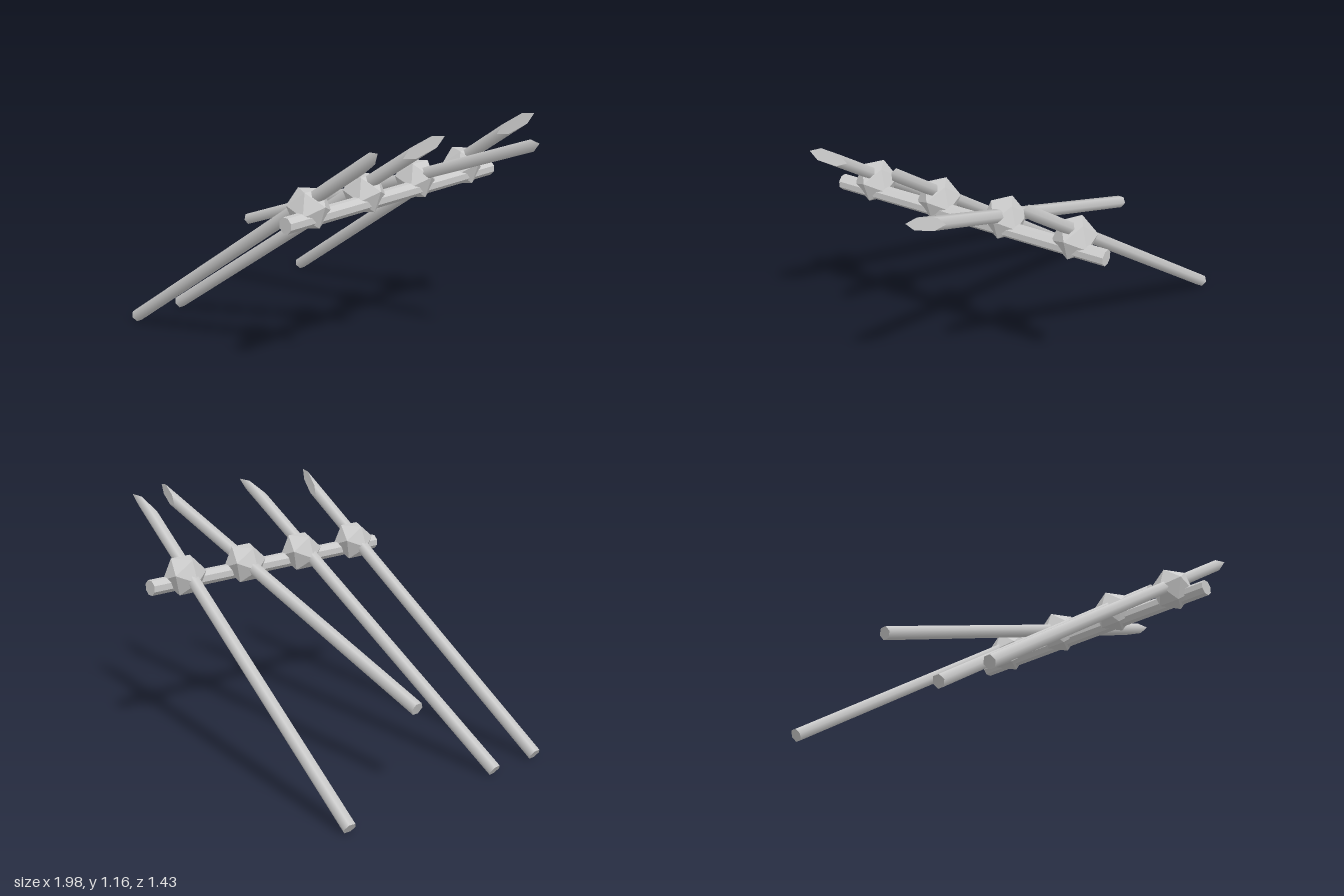
import * as THREE from 'three';

const flat = new THREE.MeshStandardMaterial({ color: 0xcccccc, flatShading: true });
const smooth = new THREE.MeshStandardMaterial({ color: 0xcccccc });

// Six-sided stake from foot to tip; the end is cut to a slanted point on one z side
function makeStake(foot, tip, side, radius = 0.032, cut = 0.21) {
  const a = new THREE.Vector3(...foot), b = new THREE.Vector3(...tip);
  const length = a.distanceTo(b);
  const geo = new THREE.CylinderGeometry(radius, radius, length, 6, 1);
  const pos = geo.attributes.position, nor = geo.attributes.normal;
  const bevel = new THREE.Vector3(0, 1, -side * cut / (2 * radius)).normalize();
  for (let i = 0; i < pos.count; i++) {
    if (pos.getY(i) > 0) pos.setY(i, length / 2 - cut * (1 - side * pos.getZ(i) / radius) / 2);
    if (nor.getY(i) > 0.5) nor.setXYZ(i, bevel.x, bevel.y, bevel.z);
  }
  // Stand the stake along its line, keeping the cut facing sideways
  const y = b.clone().sub(a).normalize();
  const x = y.clone().cross(new THREE.Vector3(0, 0, 1)).normalize();
  const z = x.clone().cross(y);
  geo.applyMatrix4(new THREE.Matrix4().makeBasis(x, y, z).setPosition(a.add(b).multiplyScalar(0.5)));
  return new THREE.Mesh(geo, smooth);
}

export function createModel() {
  const group = new THREE.Group();

  // Eight-sided rail that the stakes lean on
  const rail = new THREE.Mesh(new THREE.CylinderGeometry(0.038, 0.038, 1.43, 8), flat);
  rail.geometry.rotateY(Math.PI / 8).rotateX(Math.PI / 2);
  rail.position.set(0.3, 0.8, 0);
  rail.name = 'crossRail';
  group.add(rail);

  // Sharpened stakes: foot, tip, side of the point
  const stakes = [
    [[-0.98, 0.026, 0.54], [0.695, 1.153, 0.54], 1],
    [[-0.98, 0.026, 0.256], [0.69, 1.155, 0.163], -1],
    [[-0.902, 0.41, -0.183], [0.985, 1.12, -0.183], 1],
    [[-0.98, 0.026, -0.65], [0.69, 1.158, -0.497], -1],
  ];
  stakes.forEach(([foot, tip, side], i) => {
    const stake = makeStake(foot, tip, side);
    stake.name = `stake${i + 1}`;
    group.add(stake);

    // Lashing knot where the stake meets the rail
    const knot = new THREE.Mesh(new THREE.IcosahedronGeometry(0.104), flat);
    knot.position.set(0.268, 0.838, 0.54 - i * 0.36);
    knot.rotation.z = THREE.MathUtils.degToRad(70);
    knot.name = `lashing${i + 1}`;
    group.add(knot);
  });

  return group;
}
